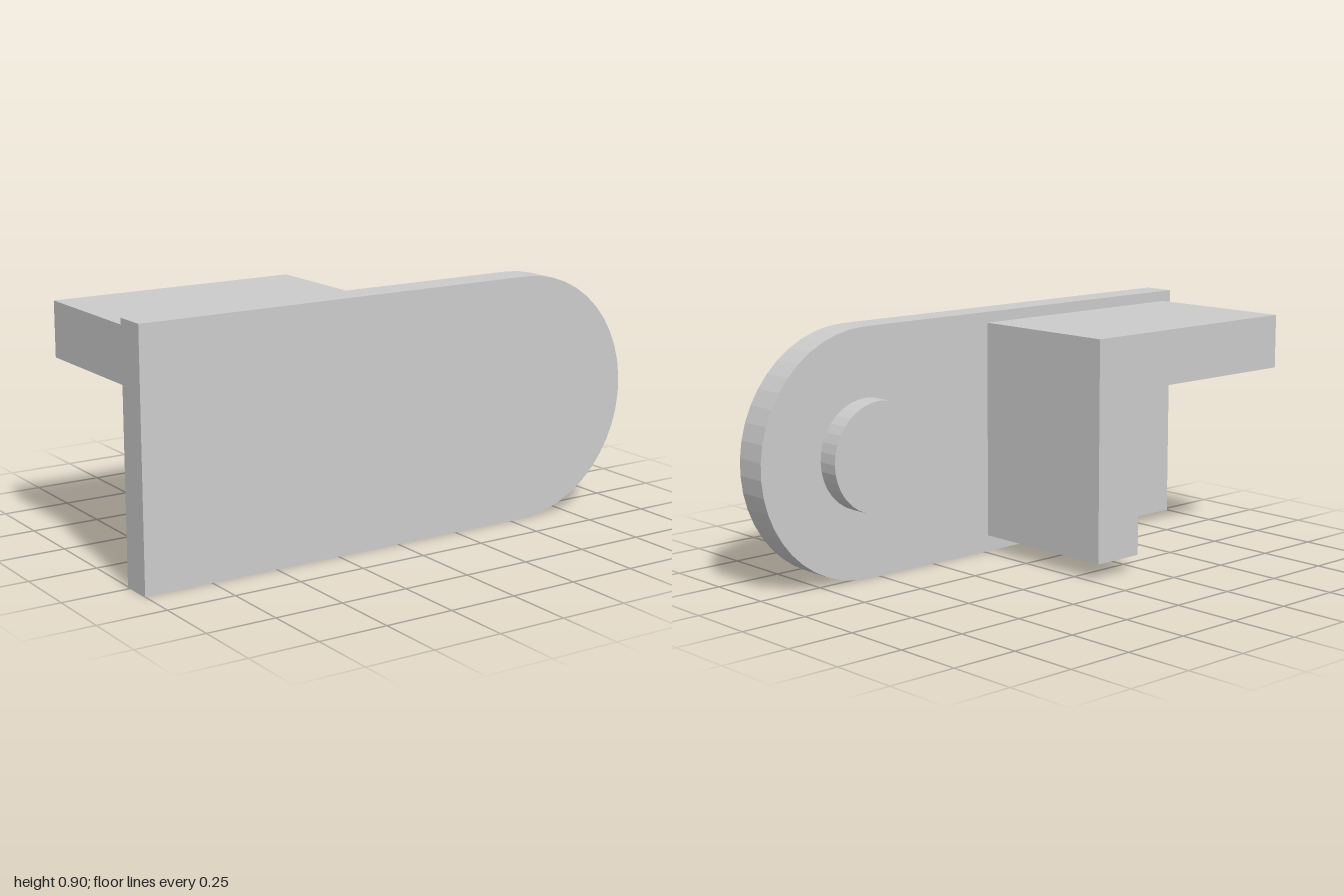
import * as THREE from 'three';

const material = new THREE.MeshStandardMaterial({ color: 0xcccccc, flatShading: true });

// Extrudes a shape along z between two depths
function slab(name, shape, zBack, zFront) {
  const geometry = new THREE.ExtrudeGeometry(shape, { depth: zFront - zBack, bevelEnabled: false });
  const mesh = new THREE.Mesh(geometry, material);
  mesh.name = name;
  mesh.position.z = zBack;
  return mesh;
}

export function createModel() {
  const group = new THREE.Group();
  group.name = 'mountingPlate';

  // Front plate: square at one end, faceted half circle at the other
  const radius = 0.45, endX = 0.55, segments = 23;
  const outline = [new THREE.Vector2(-1, 0.9), new THREE.Vector2(-1, 0)];
  for (let i = 0; i <= segments; i++) {
    const a = -Math.PI / 2 + (Math.PI * i) / segments;
    outline.push(new THREE.Vector2(endX + radius * Math.cos(a), radius + radius * Math.sin(a)));
  }
  group.add(slab('plate', new THREE.Shape(outline), 0.23, 0.35));

  // L-shaped bracket behind the plate: a top shelf with one leg down
  const corners = [[-0.96, 0.66], [-0.22, 0.66], [-0.22, 0.06], [-0.02, 0.06], [-0.02, 0.86], [-0.96, 0.86]];
  const bracket = new THREE.Shape(corners.map(([x, y]) => new THREE.Vector2(x, y)));
  group.add(slab('bracket', bracket, -0.35, 0.23));

  // Round boss on the back, concentric with the rounded end
  const boss = new THREE.Mesh(new THREE.CylinderGeometry(0.2, 0.2, 0.08, 36), material);
  boss.name = 'boss';
  boss.rotation.x = Math.PI / 2;
  boss.position.set(endX, radius, 0.19);
  group.add(boss);

  return group;
}
